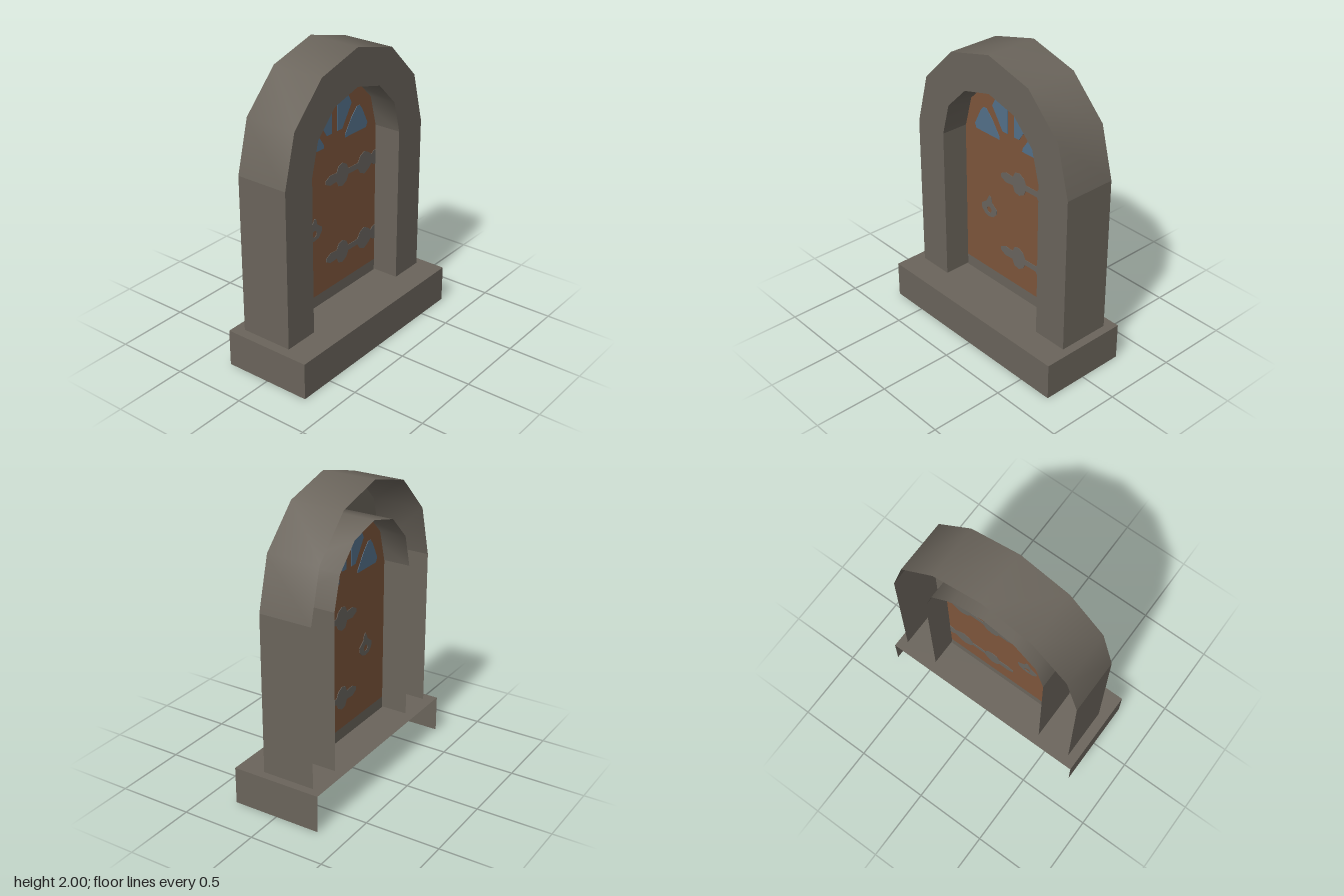
import * as THREE from 'three';

const DS = THREE.DoubleSide;
const mat = (name, color) => new THREE.MeshStandardMaterial({ name, color, side: DS });

const CX = 0.005;                 // middle of the arch
const FRONT = 0.125, BACK = -0.235, DOOR_Z = -0.055;
const FOOT = 0.24;                // walls sink slightly into the step
const SPRING = 1.315;             // height where the arch begins

// Six-sided half arch, from +x over the top to -x
function archPoints(rx, ry, y = SPRING) {
  const pts = [];
  for (let i = 0; i <= 6; i++) {
    const a = (i / 6) * Math.PI;
    pts.push(new THREE.Vector2(CX + rx * Math.cos(a), y + ry * Math.sin(a)));
  }
  return pts;
}

// Closed outline of an arch standing on two straight legs
function archOutline(rx, ry, bottom) {
  return [new THREE.Vector2(CX + rx, bottom), ...archPoints(rx, ry), new THREE.Vector2(CX - rx, bottom)];
}

// Wall swept from front to back along a line; smooth along its length
function wallStrip(points) {
  const pos = [], index = [];
  points.forEach((p, i) => {
    pos.push(p.x, p.y, FRONT, p.x, p.y, BACK);
    if (i) {
      const a = 2 * (i - 1);
      index.push(a, a + 1, a + 2, a + 1, a + 3, a + 2);
    }
  });
  const g = new THREE.BufferGeometry();
  g.setAttribute('position', new THREE.Float32BufferAttribute(pos, 3));
  g.setIndex(index);
  g.computeVertexNormals();
  return g;
}

export function createModel() {
  const model = new THREE.Group();
  model.name = 'archedDoorway';
  const stone = mat('stone', 0x6a645b);
  const wood = mat('wood', 0x7d553b);
  const glass = mat('glass', 0x537089);
  const iron = mat('iron', 0x68645e);

  const add = (name, geometry, material, z = 0, parent = model) => {
    const m = new THREE.Mesh(geometry, material);
    m.name = name;
    m.position.z = z;
    parent.add(m);
    return m;
  };

  // Step: a box without back and bottom
  const box = new THREE.BoxGeometry(1.485, 0.25, 0.61);
  const idx = Array.from(box.index.array);
  box.setIndex([0, 1, 2, 4].flatMap((f) => idx.slice(f * 6, f * 6 + 6)));
  box.clearGroups();
  add('step', box, stone).position.y = 0.125;

  // Stone surround: front ring, outer wall and inner wall, open at the back
  const surround = new THREE.Group();
  surround.name = 'stoneSurround';
  model.add(surround);
  const outer = archOutline(0.68, 0.685, FOOT);
  const inner = archOutline(0.437, 0.436, FOOT);
  const ring = new THREE.Shape([...outer, ...inner.slice().reverse()]);
  add('frontRing', new THREE.ShapeGeometry(ring), stone, FRONT, surround);
  const walls = { outer, inner: inner.slice().reverse() };
  for (const [name, pts] of Object.entries(walls)) {
    add(name + 'LegA', wallStrip(pts.slice(0, 2)), stone, 0, surround);
    add(name + 'Arch', wallStrip(pts.slice(1, 8)), stone, 0, surround);
    add(name + 'LegB', wallStrip(pts.slice(7)), stone, 0, surround);
  }

  // Door leaf with a sill strip below it
  const DW = 0.429;
  add('doorPanel', new THREE.ShapeGeometry(new THREE.Shape(archOutline(DW, 0.434, 0.33))), wood, DOOR_Z);
  const sill = new THREE.PlaneGeometry(2 * DW, 0.33 - FOOT);
  sill.translate(CX, (0.33 + FOOT) / 2, 0);
  add('doorSill', sill, stone, DOOR_Z);

  // Thin plates that show on both faces of the door
  const T = 0.006;
  const shapeOf = (pts) => new THREE.Shape(pts.map(([x, y]) => new THREE.Vector2(x, y)));
  const plate = (name, shape, material) =>
    add(name, new THREE.ExtrudeGeometry(shape, { depth: T, bevelEnabled: false, curveSegments: 8 }), material, DOOR_Z - T / 2);

  // Fan window panes, mirrored about the door's middle
  const sidePane = [[0.335, 1.37], [0.32, 1.34], [0.105, 1.34], [0.105, 1.36], [0.17, 1.455],
    [0.225, 1.512], [0.255, 1.512], [0.28, 1.48]];
  const topPane = [[0.17, 1.555], [0.13, 1.63], [0.045, 1.64], [0.028, 1.62], [0.028, 1.41], [0.075, 1.41]];
  for (const s of [-1, 1]) {
    const mirror = (pts) => shapeOf(pts.map(([x, y]) => [CX + s * x, y]));
    const side = s > 0 ? 'left' : 'right';
    plate(side + 'SidePane', mirror(sidePane), glass);
    plate(side + 'TopPane', mirror(topPane), glass);
  }

  // Strap hinges: half profile mirrored about the strap's centre line
  const half = [[-0.085, 0.012], [-0.04, 0.035], [0.025, 0.03], [0.045, 0.07], [0.085, 0.08], [0.125, 0.058],
    [0.145, 0.02], [0.245, 0.02], [0.27, 0.06], [0.315, 0.08], [0.36, 0.056], [0.39, 0.03], [0.41, 0.048], [0.433, 0.052]];
  for (const [name, y] of [['upperHinge', 1.097], ['lowerHinge', 0.545]]) {
    const top = half.map(([x, h]) => [x, y + h]);
    const bottom = half.map(([x, h]) => [x, y - h]).reverse();
    plate(name, shapeOf([...top, ...bottom]), iron);
  }

  // Drop-shaped ring handle
  const handle = shapeOf([[-0.2, 0.893], [-0.225, 0.845], [-0.272, 0.81], [-0.268, 0.775], [-0.24, 0.745],
    [-0.2, 0.735], [-0.16, 0.745], [-0.13, 0.775], [-0.125, 0.81], [-0.172, 0.845], [-0.182, 0.885]]);
  const hole = new THREE.Path();
  hole.absellipse(-0.2, 0.787, 0.022, 0.022, 0, Math.PI * 2, true, 0);
  handle.holes.push(hole);
  plate('ringHandle', handle, iron);

  return model;
}
